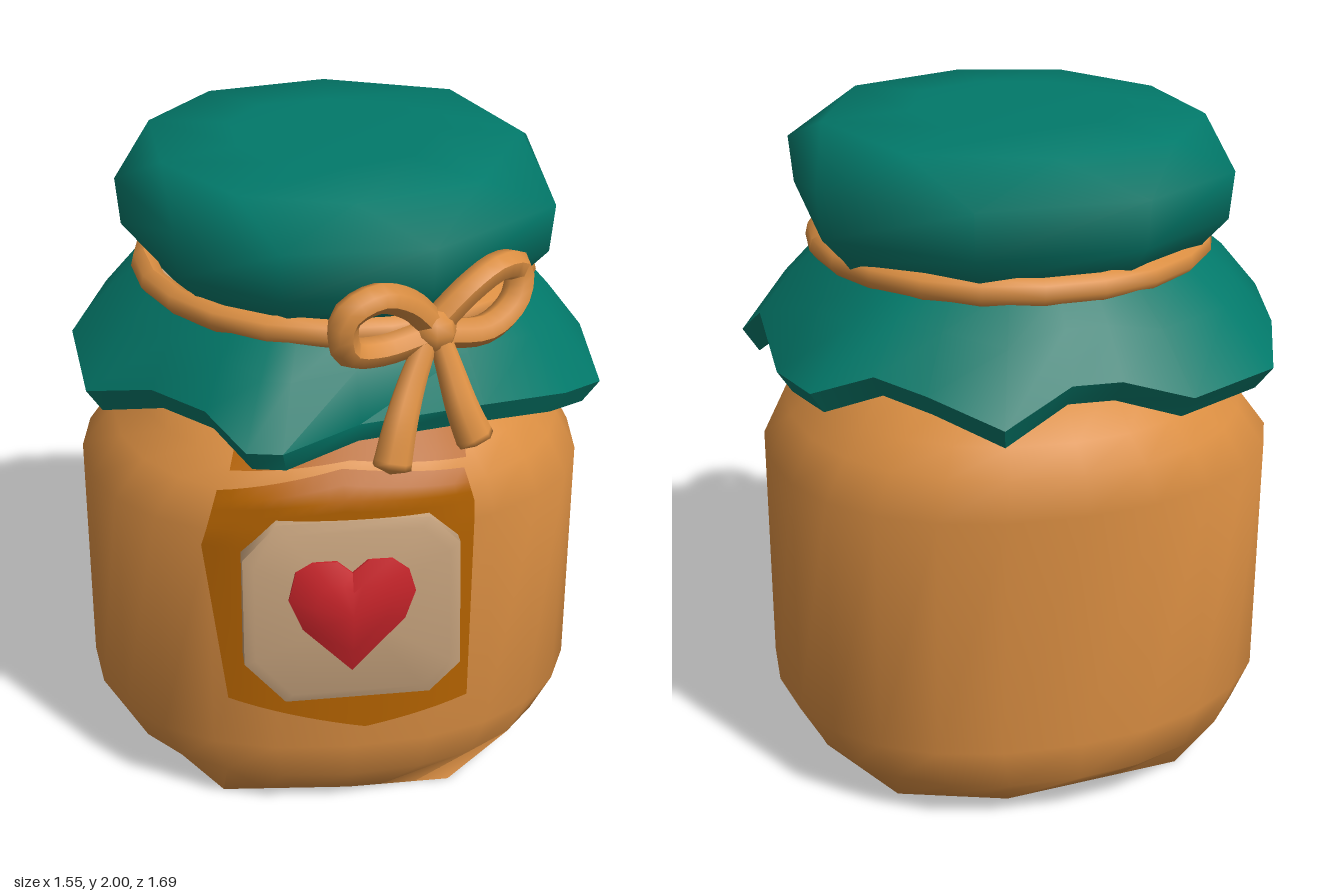
import * as THREE from 'three';
import { toCreasedNormals } from 'three/addons/utils/BufferGeometryUtils.js';

const mat = (name, color, side = THREE.FrontSide) => {
  const m = new THREE.MeshStandardMaterial({ color, side });
  m.name = name;
  return m;
};
const V = (x, y, z) => new THREE.Vector3(x, y, z);

// Skin over rings of equal point count, with optional fan caps at both ends
function loft(rings, capStart, capEnd, crease = 0.9) {
  const n = rings[0].length, pts = rings.flat(), index = [];
  for (let i = 0; i < rings.length - 1; i++) {
    for (let j = 0; j < n; j++) {
      const a = i * n + j, b = i * n + (j + 1) % n;
      index.push(a, a + n, b, b, a + n, b + n);
    }
  }
  const last = (rings.length - 1) * n;
  if (capStart) {
    const c = pts.push(capStart) - 1;
    for (let j = 0; j < n; j++) index.push(c, j, (j + 1) % n);
  }
  if (capEnd) {
    const c = pts.push(capEnd) - 1;
    for (let j = 0; j < n; j++) index.push(c, last + (j + 1) % n, last + j);
  }
  const g = new THREE.BufferGeometry().setFromPoints(pts);
  g.setIndex(index);
  return toCreasedNormals(g, crease);
}

// Jar levels: y, xMin, xMax, zBack, zFront
const LEVELS = [
  [0.13, -0.7, 0.7, -0.725, 0.535],
  [0.25, -0.77, 0.77, -0.735, 0.555],
  [1.0, -0.77, 0.77, -0.765, 0.58],
  [1.13, -0.67, 0.7, -0.765, 0.585],
  [1.2, -0.59, 0.63, -0.7, 0.52],
  [1.31, -0.51, 0.54, -0.59, 0.41],
];
// Eight-sided foot of the jar: x, z
const FOOT = [[0.635, -0.11], [0.32, 0.42], [0, 0.425], [-0.39, 0.39],
  [-0.6, -0.07], [-0.38, -0.53], [0.18, -0.575], [0.49, -0.45]];
const POWER = 2.28, SIDES = 24;

function jarLevel(y) {
  let i = 0;
  while (i < LEVELS.length - 2 && y > LEVELS[i + 1][0]) i++;
  const t = (y - LEVELS[i][0]) / (LEVELS[i + 1][0] - LEVELS[i][0]);
  const [, x0, x1, z0, z1] = LEVELS[i].map((v, k) => THREE.MathUtils.lerp(v, LEVELS[i + 1][k], t));
  return { cx: (x0 + x1) / 2, rx: (x1 - x0) / 2, cz: (z0 + z1) / 2, rz: (z1 - z0) / 2 };
}

// Rounded square outline, rounder at the back right corner
function jarRing(y) {
  const { cx, rx, cz, rz } = jarLevel(y);
  return Array.from({ length: SIDES }, (_, j) => {
    const a = j / SIDES * Math.PI * 2, c = Math.cos(a), s = Math.sin(a);
    const power = c < 0 && s < 0 ? 2.08 : POWER;
    const f = v => Math.sign(v) * Math.abs(v) ** (2 / power);
    return V(cx + rx * f(c), y, cz + rz * f(s));
  });
}

// Foot outline with each edge cut in three, to match the jar rings
const footRing = () => FOOT.flatMap((p, i) => {
  const q = FOOT[(i + 1) % FOOT.length];
  return [0, 1 / 3, 2 / 3].map(t => V(p[0] + (q[0] - p[0]) * t, 0, p[1] + (q[1] - p[1]) * t));
});

// Front of the jar at a given x and y
function jarFront(x, y) {
  const { cx, rx, cz, rz } = jarLevel(y);
  return cz + rz * Math.max(0, 1 - Math.abs((x - cx) / rx) ** POWER) ** (1 / POWER);
}

// Value along a short list of [t, value] stops
function stops(list, t) {
  let i = 0;
  while (i < list.length - 2 && t > list[i + 1][0]) i++;
  const [a, b] = [list[i], list[i + 1]];
  return THREE.MathUtils.mapLinear(t, a[0], b[0], a[1], b[1]);
}

// Thin patch that hugs the front of the jar
function patch(left, right, bottom, top, rows) {
  const g = new THREE.PlaneGeometry(1, 1, 16, rows), p = g.attributes.position;
  for (let i = 0; i < p.count; i++) {
    const u = p.getX(i) + 0.5, v = p.getY(i) + 0.5;
    const x = THREE.MathUtils.lerp(stops(left, v), stops(right, v), u);
    const y = THREE.MathUtils.lerp(stops(bottom, u), stops(top, u), v);
    p.setXYZ(i, x, y, jarFront(x, y) + 0.012);
  }
  g.computeVertexNormals();
  return g;
}

// Cord along a curve; the radius follows a rule of u
function cord(points, radius, closed = false) {
  const curve = new THREE.CatmullRomCurve3(points.map(p => V(...p)), closed);
  const n = 22, sides = 7, g = new THREE.TubeGeometry(curve, n, 1, sides, closed);
  const p = g.attributes.position, q = V(0, 0, 0);
  for (let i = 0; i < p.count; i++) {
    const u = Math.floor(i / (sides + 1)) / n, c = curve.getPointAt(u);
    q.fromBufferAttribute(p, i).sub(c).multiplyScalar(radius(u)).add(c);
    p.setXYZ(i, q.x, q.y, q.z);
  }
  g.computeVertexNormals();
  return g;
}

// Lid outline seen from above: x, z, and the same turned by half a side
const LID = [[-0.19, -0.69], [0.3, -0.67], [0.65, -0.34], [0.6, 0.3], [0.21, 0.6],
  [-0.21, 0.59], [-0.48, 0.38], [-0.63, -0.08], [-0.52, -0.48]];
const LID_TURNED = LID.map(([x, z], i) => {
  const [x2, z2] = LID[(i + 1) % LID.length];
  return [(x + x2) / 2, (z + z2) / 2];
});
// Ragged hem of the cloth: x, lowest y, z
const HEM = [[-0.27, 1.28, -0.84], [-0.08, 1.33, -0.79], [0.06, 1.33, -0.78], [0.27, 1.25, -0.845],
  [0.44, 1.31, -0.69], [0.56, 1.34, -0.58], [0.72, 1.28, -0.5], [0.755, 1.24, -0.2],
  [0.75, 1.33, 0.07], [0.775, 1.22, 0.25], [0.63, 1.27, 0.42], [0.36, 1.32, 0.57],
  [0, 1.32, 0.65], [-0.22, 1.27, 0.71], [-0.32, 1.28, 0.71], [-0.42, 1.34, 0.56], [-0.56, 1.32, 0.36],
  [-0.745, 1.26, 0.22], [-0.78, 1.32, -0.085], [-0.67, 1.33, -0.45], [-0.57, 1.28, -0.69]];
const HEART = [[-0.015, 0.9], [0.03, 0.94], [0.1, 0.94], [0.15, 0.9], [0.17, 0.83], [0.14, 0.74],
  [-0.015, 0.57], [-0.16, 0.72], [-0.2, 0.82], [-0.18, 0.91], [-0.13, 0.94], [-0.06, 0.94]];
const PLATE = [[-0.23, 1.06], [0.21, 1.06], [0.3, 0.97], [0.31, 0.56], [0.22, 0.465],
  [-0.21, 0.46], [-0.33, 0.6], [-0.33, 0.95]];

export function createModel() {
  const model = new THREE.Group();
  const orange = mat('honey orange', 0xda8e42);
  const teal = mat('teal cloth', 0x02796a);
  const brown = mat('label brown', 0xb66400, THREE.DoubleSide);
  const cream = mat('cream', 0xc8a47e);
  const red = mat('heart red', 0xc8242a);
  const add = (name, g, m) => {
    const mesh = new THREE.Mesh(g, m);
    mesh.name = name;
    model.add(mesh);
    return mesh;
  };

  // Jar and neck
  add('jar', loft([footRing(), ...LEVELS.map(l => jarRing(l[0]))], V(0, 0, -0.07), V(0, 1.31, -0.09), 1.1), orange);
  const neck = add('neck', new THREE.CylinderGeometry(0.625, 0.56, 0.15, 20), cream);
  neck.position.set(0, 1.365, -0.085);
  neck.scale.z = 0.93;

  // Label backing and the band above it
  add('labelBacking', patch([[0, -0.375], [0.75, -0.44], [1, -0.39]], [[0, 0.35], [0.87, 0.35], [1, 0.32]],
    [[0, 0.43], [0.56, 0.33], [1, 0.39]], [[0, 1.13], [0.5, 1.195], [1, 1.165]], 24), brown);
  add('labelBand', patch([[0, -0.35], [1, -0.31]], [[0, 0.33], [1, 0.33]],
    [[0, 1.175], [0.5, 1.212], [1, 1.185]], [[0, 1.285], [1, 1.3]], 6), brown);

  // Label plate and raised heart
  const flatRing = (pts, cx, cy, s, z) => pts.map(([x, y]) => V(cx + (x - cx) * s, cy + (y - cy) * s, z));
  const plate = (s, z) => flatRing(PLATE, -0.01, 0.76, s, z);
  add('labelPlate', loft([plate(1, 0.5), plate(1, 0.6), plate(0.9, 0.612)], null, V(-0.01, 0.76, 0.615)), cream);
  const heart = (s, z) => flatRing(HEART, -0.015, 0.77, s, z);
  add('heart', loft([heart(1, 0.6), heart(1, 0.62), heart(0.6, 0.645)], null, V(-0.015, 0.77, 0.655), 0.7), red);

  // Puffed cloth over the lid
  const lidRing = ([y, s, outline]) => outline.map(([x, z]) => V(x * s, y, (z + 0.04) * s - 0.04));
  add('clothTop', loft([[1.6, 0.82, LID], [1.655, 0.88, LID], [1.73, 0.98, LID], [1.87, 1, LID],
    [1.985, 0.9, LID_TURNED], [2, 0.5, LID_TURNED]].map(lidRing), null, V(0, 2, -0.04), 1.2), teal);

  // Flared cloth skirt: underside, hem, then up to the twine
  const gather = (r, y) => HEM.map(([x, , z]) => {
    const a = Math.atan2(z + 0.04, x);
    return V(r * Math.cos(a), y, r * 1.04 * Math.sin(a) - 0.04);
  });
  const hem = (s, lift) => HEM.map(([x, y, z]) => V(x * s, y + lift, z * s));
  const top = gather(0.555, 1.62), rim = hem(1, 0.07);
  const mid = rim.map((p, i) => p.clone().lerp(top[i], 0.52).add(V(0, 0.02, 0)));
  add('clothSkirt', loft([gather(0.5, 1.43), hem(0.94, 0), rim, mid, top], null, null, 0.9), teal);

  // Twine around the neck
  const twine = Array.from({ length: 16 }, (_, i) => {
    const a = i / 16 * Math.PI * 2;
    return [0.01 + 0.565 * Math.cos(a), 1.62, -0.04 + 0.59 * Math.sin(a)];
  });
  add('twine', cord(twine, () => 0.04, true), orange);

  // Bow: knot, two loops, two tails
  const knot = add('bowKnot', new THREE.SphereGeometry(0.068, 8, 6), orange);
  knot.position.set(0.2, 1.65, 0.62);
  const loop = () => 0.043;
  add('bowLoopLeft', cord([[0.2, 1.66, 0.62], [0.3, 1.75, 0.59], [0.39, 1.79, 0.54], [0.46, 1.76, 0.48],
    [0.45, 1.68, 0.5], [0.36, 1.62, 0.56], [0.2, 1.64, 0.62]], loop), orange);
  add('bowLoopRight', cord([[0.2, 1.66, 0.62], [0.12, 1.75, 0.67], [0.03, 1.79, 0.72], [-0.055, 1.75, 0.75],
    [-0.05, 1.65, 0.73], [0.04, 1.62, 0.68], [0.2, 1.64, 0.62]], loop), orange);
  const tail = u => (u === 1 ? 0 : 0.03 + 0.026 * u);
  add('bowTailRight', cord([[0.19, 1.65, 0.63], [0.13, 1.53, 0.7], [0.09, 1.43, 0.76], [0.06, 1.31, 0.8]], tail), orange);
  add('bowTailLeft', cord([[0.21, 1.65, 0.63], [0.24, 1.55, 0.67], [0.27, 1.45, 0.71], [0.31, 1.35, 0.73]], tail), orange);

  return model;
}
